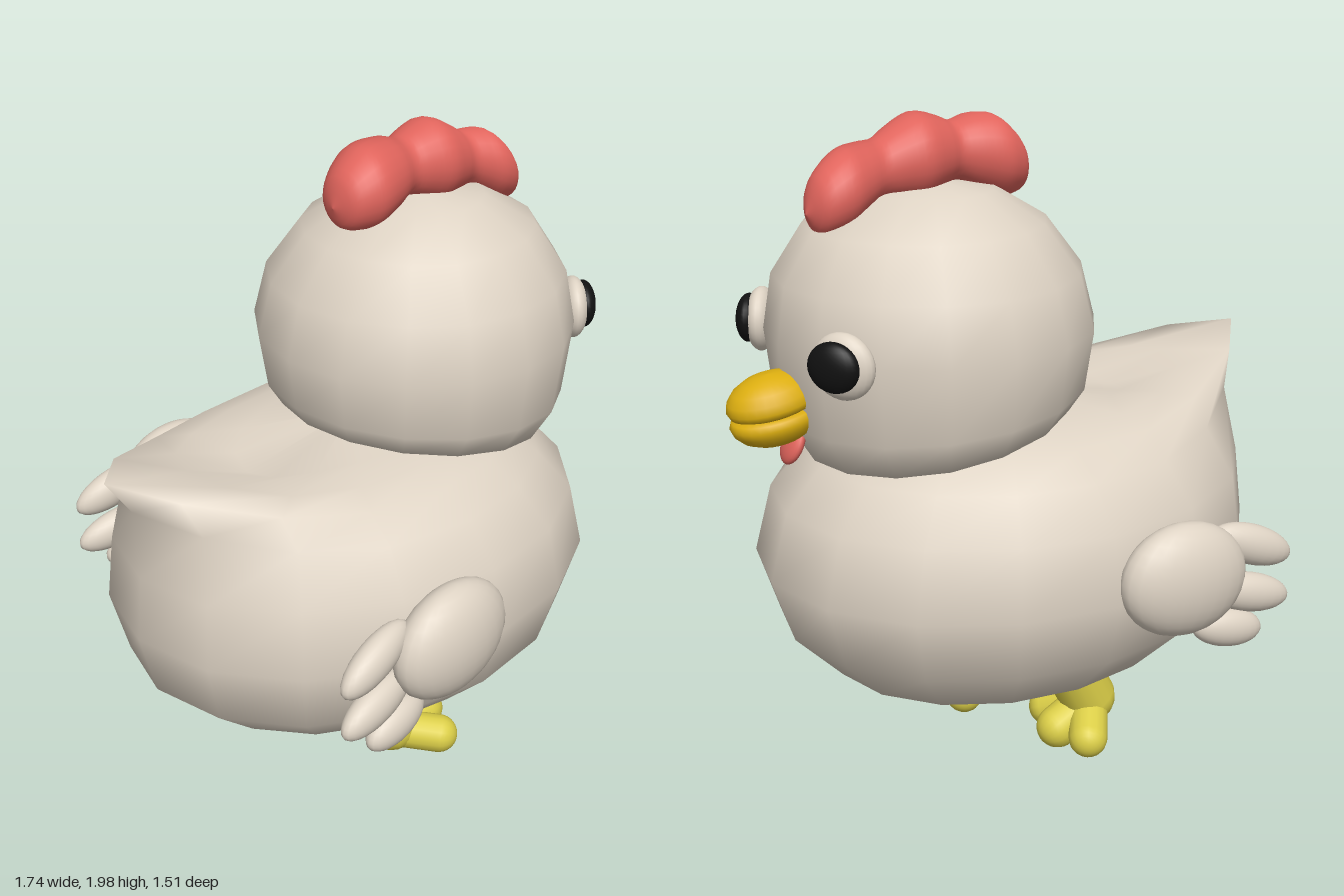
import * as THREE from 'three';

const mat = (name, color) => new THREE.MeshStandardMaterial({ name, color });
const cream = mat('cream', 0xded3c4);
const red = mat('coral red', 0xe0645c);
const gold = mat('beak gold', 0xdcae10);
const yellow = mat('leg yellow', 0xdccf48);
const black = mat('black', 0x111111);

function add(parent, name, geometry, material, pos = [0, 0, 0], rot = [0, 0, 0]) {
  const m = new THREE.Mesh(geometry, material);
  m.name = name;
  m.position.set(...pos);
  m.rotation.set(...rot);
  parent.add(m);
  return m;
}

const ellipsoid = (rx, ry, rz) => new THREE.SphereGeometry(1, 24, 16).scale(rx, ry, rz);

// Horizontal rings from bottom to top: [y, back, front, half width, tail lift, tail pull, tilt]
function loft(rings, sides = 16) {
  const pos = [], idx = [];
  rings.forEach(([y, back, front, half, lift = 0, pull = 0, tilt = 0], i) => {
    for (let j = 0; j < sides; j++) {
      const a = (j / sides) * Math.PI * 2, c = Math.cos(a), b = Math.max(0, -c);
      pos.push(c > 0 ? front * c : -back * b - pull * b ** 8, y + lift * b ** 4 - tilt * c, half * Math.sin(a));
      if (i === rings.length - 1) continue;
      const k = (j + 1) % sides, p = i * sides, q = p + sides;
      idx.push(p + j, q + j, p + k, q + j, q + k, p + k);
    }
  });
  const g = new THREE.BufferGeometry();
  g.setAttribute('position', new THREE.Float32BufferAttribute(pos, 3));
  g.setIndex(idx);
  g.computeVertexNormals();
  return g;
}

// Rounded bar between two points
function bar(parent, name, a, b, r) {
  const va = new THREE.Vector3(...a), vb = new THREE.Vector3(...b), d = vb.clone().sub(va);
  const m = add(parent, name, new THREE.CapsuleGeometry(r, d.length(), 8, 16), yellow);
  m.position.copy(va).add(vb).multiplyScalar(0.5);
  m.quaternion.setFromUnitVectors(new THREE.Vector3(0, 1, 0), d.normalize());
}

function makeLeg(name) {
  const leg = new THREE.Group();
  leg.name = name;
  bar(leg, 'shank', [-0.02, 0.02, 0], [0, -0.25, 0], 0.088);
  bar(leg, 'middleToe', [0.01, -0.27, 0], [0.135, -0.26, 0], 0.066);
  for (const s of [-1, 1]) bar(leg, 'sideToe', [0.02, -0.27, s * 0.02], [0.1, -0.275, s * 0.115], 0.06);
  return leg;
}

function makeWing(name, s) {
  const wing = new THREE.Group();
  wing.name = name;
  add(wing, 'wingPad', ellipsoid(0.203, 0.17, 0.095), cream, [0, 0, 0], [0, s * 0.06, 0.12]);
  // x, y, half length, tilt of each feather
  for (const [x, y, len, tilt] of [[-0.255, 0.04, 0.14, 0.38], [-0.25, -0.11, 0.14, 0.25], [-0.18, -0.205, 0.115, 0.2]])
    add(wing, 'feather', ellipsoid(len, 0.06, 0.048), cream, [x, y, -s * 0.02], [0, s * 0.16, tilt]);
  return wing;
}

export function createModel() {
  const chick = new THREE.Group();
  chick.name = 'chick';

  // Plump body with an upturned tail
  add(chick, 'body', loft([
    [0.36, 0, 0, 0], [0.35, 0.4, 0.35, 0.3], [0.345, 0.58, 0.55, 0.44], [0.5, 0.75, 0.7, 0.59],
    [0.7, 0.8, 0.765, 0.645], [0.9, 0.78, 0.71, 0.61], [1.02, 0.7, 0.6, 0.51, 0.1, 0.09],
    [1.09, 0.7, 0.5, 0.42, 0.15, 0.17], [1.12, 0.6, 0.4, 0.33, 0.06], [1.14, 0.4, 0.3, 0.24, -0.04], [1.17, 0, 0, 0],
  ]), cream);

  add(chick, 'head', loft([
    [1.09, 0, 0, 0], [1.095, 0.3, 0.28, 0.3, 0, 0, 0.05], [1.11, 0.41, 0.38, 0.4, 0, 0, 0.065],
    [1.2, 0.45, 0.45, 0.455, 0, 0, 0.04], [1.4, 0.475, 0.475, 0.48], [1.56, 0.435, 0.45, 0.44],
    [1.7, 0.33, 0.36, 0.34], [1.79, 0.18, 0.2, 0.2], [1.82, 0, 0, 0],
  ]), cream, [0.235, 0, 0]);

  // Comb: three merged lobes, bent over the crown
  const profile = new THREE.SplineCurve([
    [0, -0.075], [0.07, -0.052], [0.108, 0], [0.118, 0.045], [0.105, 0.11], [0.085, 0.165], [0.1, 0.21], [0.12, 0.28],
    [0.1, 0.35], [0.083, 0.4], [0.095, 0.45], [0.106, 0.51], [0.075, 0.58], [0, 0.612],
  ].map(p => new THREE.Vector2(...p))).getPoints(48);
  profile.forEach(p => { p.x = Math.max(0, p.x); });
  const comb = new THREE.LatheGeometry(profile, 24).rotateZ(-Math.PI / 2);
  const cp = comb.attributes.position;
  for (let i = 0; i < cp.count; i++) {
    const d = cp.getX(i) - 0.28;
    cp.setY(i, cp.getY(i) + 1.88 - 0.113 * d - 0.83 * d * d);
  }
  add(chick, 'comb', comb, red);

  // Beak: two domes meeting at a rounded seam
  const beak = new THREE.Group();
  beak.name = 'beak';
  beak.position.set(0.73, 1.222, 0);
  beak.rotation.z = -0.17;
  chick.add(beak);
  const dome = new THREE.LatheGeometry([
    [0, 0], [0.085, 0], [0.099, 0.007], [0.105, 0.025], [0.1, 0.048], [0.084, 0.073], [0.058, 0.092], [0.03, 0.102], [0, 0.105],
  ].map(p => new THREE.Vector2(...p)), 28).scale(1.28, 1, 1);
  add(beak, 'upperBeak', dome, gold);
  add(beak, 'lowerBeak', dome, gold, [0, 0, 0], [Math.PI, 0, 0]).scale.y = 0.95;
  add(chick, 'tongue', ellipsoid(0.024, 0.06, 0.05), red, [0.68, 1.108, 0], [0, 0, 0.45]);

  for (const s of [1, -1]) {
    const side = s > 0 ? 'front' : 'back';
    // Eyes angled outward
    add(chick, side + 'EyeWhite', ellipsoid(0.045, 0.093, 0.093), cream, [0.642, 1.402, s * 0.265], [0, -s * 0.62, 0]);
    add(chick, side + 'Pupil', ellipsoid(0.036, 0.07, 0.076), black, [0.676, 1.407, s * 0.277], [0, -s * 0.62, 0]);

    const wing = makeWing(side + 'Wing', s);
    wing.position.set(s > 0 ? -0.217 : -0.2, s > 0 ? 0.797 : 0.745, s * 0.662);
    chick.add(wing);

    // One leg stands, the other swings back
    const leg = makeLeg(side + 'Leg');
    leg.position.set(s > 0 ? -0.02 : -0.06, 0.375, s * 0.21);
    leg.rotation.z = s > 0 ? 0 : -0.55;
    chick.add(leg);
  }
  return chick;
}
